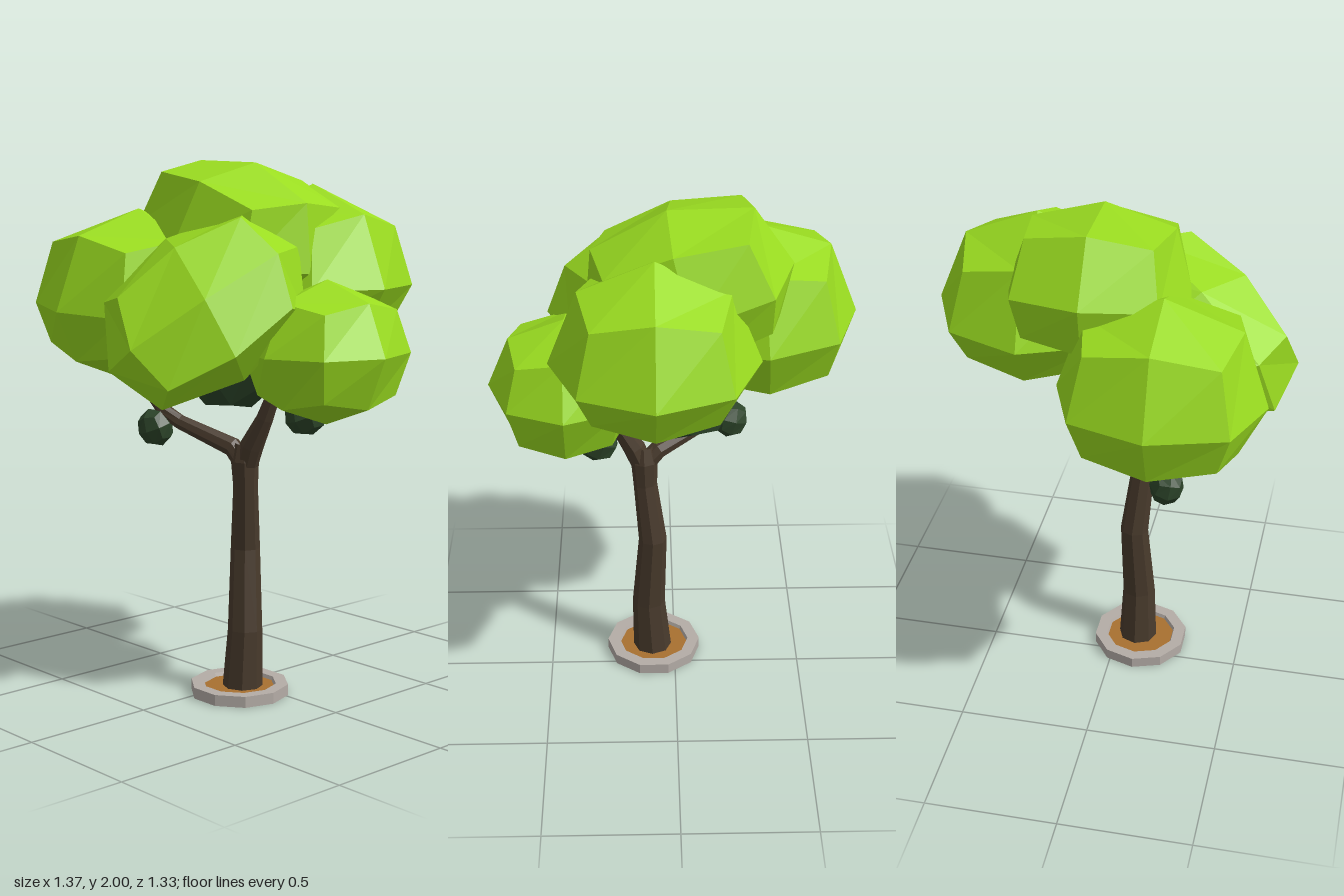
import * as THREE from 'three';

const mat = (name, color) => {
  const m = new THREE.MeshStandardMaterial({ color });
  m.name = name;
  return m;
};

// Faceted copy: every triangle gets its own normal
function faceted(geo) {
  const g = geo.index ? geo.toNonIndexed() : geo;
  g.computeVertexNormals();
  return g;
}

// Ball of 24 quads from a rounded cube; flat > 0 flattens its underside, p > 2 makes it boxier
function clumpGeometry([rx, ry, rz], flat = 0, p = 2) {
  const geo = new THREE.BoxGeometry(2, 2, 2, 2, 2, 2);
  const pos = geo.attributes.position;
  const v = new THREE.Vector3();
  for (let i = 0; i < pos.count; i++) {
    v.fromBufferAttribute(pos, i);
    const sum = Math.abs(v.x) ** p + Math.abs(v.y) ** p + Math.abs(v.z) ** p;
    v.divideScalar(sum ** (1 / p));
    if (v.y < 0) v.y *= 1 - flat * (0.7 + 0.45 * v.y);
    pos.setXYZ(i, v.x * rx, v.y * ry, v.z * rz);
  }
  return faceted(geo);
}

// Tapered limb through [x, y, z, radius] stations
function limbGeometry(stations, sides = 8) {
  const pts = stations.map(([x, y, z]) => new THREE.Vector3(x, y, z));
  const pos = [], index = [];
  stations.forEach(([, , , r], i) => {
    const t = pts[Math.min(i + 1, pts.length - 1)].clone().sub(pts[Math.max(i - 1, 0)]).normalize();
    const u = new THREE.Vector3(0, 0, 1).addScaledVector(t, -t.z).normalize();
    const v = t.clone().cross(u);
    for (let j = 0; j < sides; j++) {
      const a = (j / sides) * Math.PI * 2;
      const p = pts[i].clone().addScaledVector(u, r * Math.cos(a)).addScaledVector(v, r * Math.sin(a));
      pos.push(p.x, p.y, p.z);
      if (i < pts.length - 1) {
        const a0 = i * sides + j, b0 = i * sides + (j + 1) % sides;
        index.push(a0, b0, a0 + sides, b0, b0 + sides, a0 + sides);
      }
    }
  });
  const geo = new THREE.BufferGeometry();
  geo.setAttribute('position', new THREE.Float32BufferAttribute(pos, 3));
  geo.setIndex(index);
  return faceted(geo);
}

export function createModel() {
  const model = new THREE.Group();
  model.name = 'tree';
  const leaf = mat('leaf green', 0x9adc20);
  const shade = mat('dark leaf green', 0x2c4429);
  const bark = mat('bark brown', 0x483a2c);
  const stone = mat('kerb stone', 0xb4aca6);
  const soil = mat('soil brown', 0xa87030);

  const add = (name, geo, material, at = [0, 0, 0]) => {
    const mesh = new THREE.Mesh(geo, material);
    mesh.name = name;
    mesh.position.set(...at);
    model.add(mesh);
    return mesh;
  };

  // Ten-sided kerb with soil inside and beneath
  const cx = 0.086, cz = 0.098, q = Math.PI / 2;
  const profile = [[0.187, 0], [0.187, 0.042], [0.14, 0.042], [0.13, 0.015]].map(p => new THREE.Vector2(...p));
  add('kerb', faceted(new THREE.LatheGeometry(profile, 10, q)), stone, [cx, 0, cz]);
  add('soilBase', faceted(new THREE.CylinderGeometry(0.186, 0.186, 0.004, 10, 1, false, q)), soil, [cx, 0.002, cz]);
  add('soil', faceted(new THREE.CylinderGeometry(0.138, 0.138, 0.024, 10, 1, false, q)), soil, [cx, 0.016, cz]);

  // Trunk and forked branches
  add('trunk', limbGeometry([
    [0.09, 0.01, 0.086, 0.077], [0.104, 0.25, 0.086, 0.065], [0.086, 0.56, 0.068, 0.055],
    [0.113, 0.8, 0.092, 0.046], [0.116, 0.9, 0.098, 0.052], [0.118, 0.965, 0.1, 0.036],
  ]), bark);
  add('leftBranch', limbGeometry([
    [0.115, 0.86, 0.095, 0.04], [0.155, 0.96, 0.1, 0.044], [0.22, 1.07, 0.095, 0.031], [0.285, 1.22, 0.085, 0.022],
  ]), bark);
  add('rightBranch', limbGeometry([
    [0.12, 0.88, 0.097, 0.04], [0.06, 0.945, 0.11, 0.037], [-0.14, 1.025, 0.195, 0.028],
    [-0.205, 1.07, 0.225, 0.026], [-0.25, 1.14, 0.25, 0.024], [-0.3, 1.25, 0.27, 0.022],
  ]), bark);
  add('twig', limbGeometry([[-0.17, 1.045, 0.205, 0.014], [-0.222, 1.0, 0.24, 0.01]], 6), bark);

  // Leafy crown: name, centre, radii, flattening, boxiness, roll
  const crown = [
    ['rightClump', [-0.34, 1.45, 0.24], [0.35, 0.37, 0.372], 0.85, 2.35, -0.06],
    ['backClump', [0.075, 1.53, -0.29], [0.375, 0.38, 0.38], 1, 2.05, 0],
    ['leftClump', [0.4, 1.315, -0.04], [0.285, 0.262, 0.31], 0, 2.1, 0],
    ['topClump', [-0.05, 1.69, -0.035], [0.385, 0.31, 0.335], 0.8, 2.7, -0.26],
  ];
  for (const [name, at, radii, flat, p, roll] of crown) {
    add(name, clumpGeometry(radii, flat, p), leaf, at).rotation.z = roll;
  }

  // Front clump: a flattened dome leaning outwards, placed by its three half-axes
  const lean = new THREE.Matrix4().makeBasis(
    new THREE.Vector3(-0.185, -0.24, 0.34),
    new THREE.Vector3(0.23, 0.06, 0.2),
    new THREE.Vector3(-0.2, 0.27, 0.03),
  );
  const dome = clumpGeometry([0.9, 0.9, 0.9], 0.5, 2.4).applyMatrix4(lean);
  add('frontClump', faceted(dome), leaf, [0.122, 1.475, 0.3]);

  // Dark inner foliage and small hanging tufts
  const tufts = [
    ['innerFoliage', [-0.035, 1.25, 0.02], [0.2, 0.19, 0.2], 0.4],
    ['rightTuft', [-0.224, 1.0, 0.245], [0.07, 0.075, 0.065], 0.3],
    ['leftTuft', [0.29, 1.075, -0.045], [0.08, 0.078, 0.085], 0.3],
  ];
  for (const [name, at, r, yaw] of tufts) {
    add(name, clumpGeometry(r), shade, at).rotation.set(0.2, yaw, 0.25);
  }
  return model;
}
